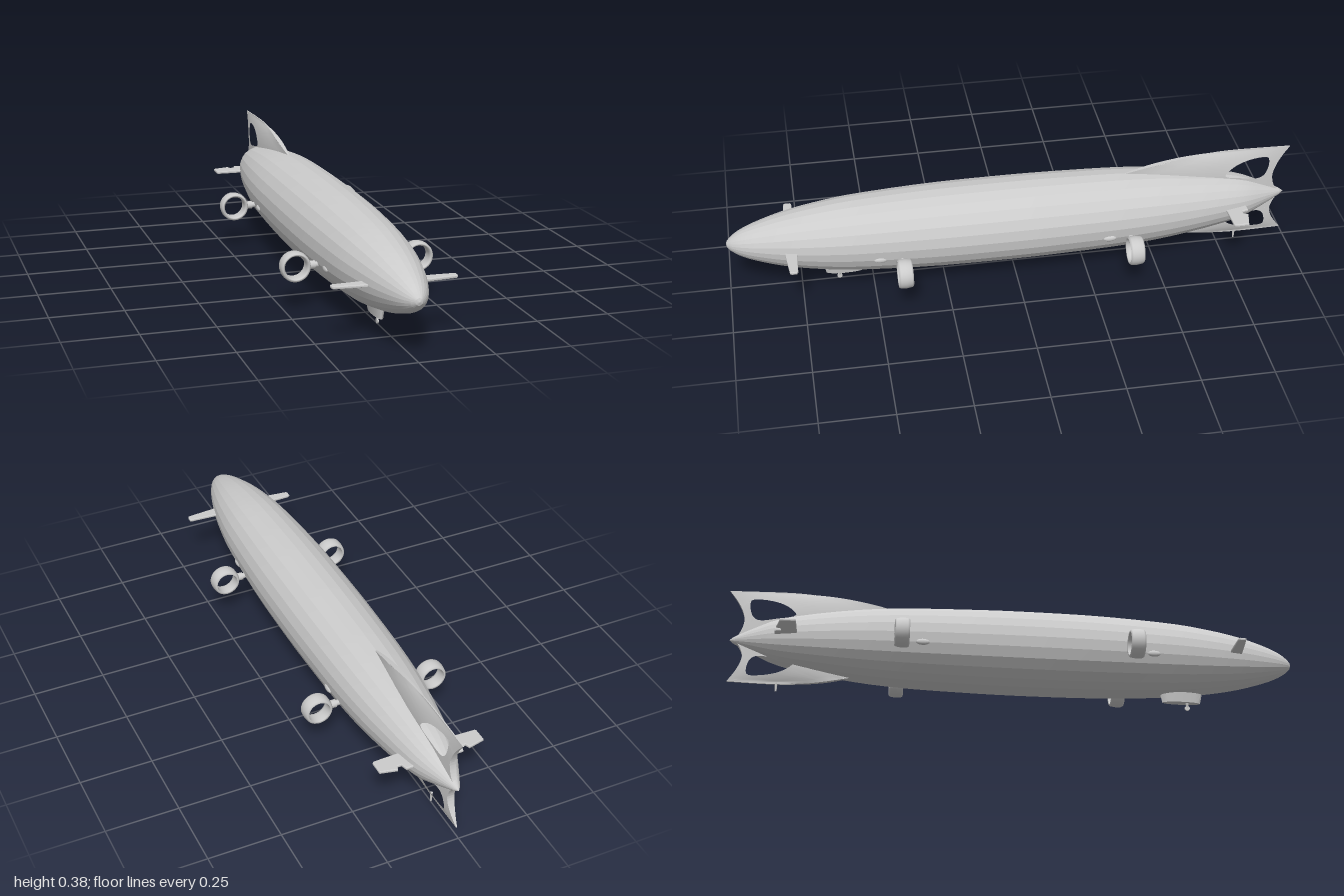
import * as THREE from 'three';
import { toCreasedNormals } from 'three/addons/utils/BufferGeometryUtils.js';

const AXIS = 0.19; // height of the hull axis
const mat = new THREE.MeshStandardMaterial({ color: 0xcccccc });
const v2 = ([x, y]) => new THREE.Vector2(x, y);

function add(parent, name, geometry, x = 0, y = 0, z = 0) {
  const mesh = new THREE.Mesh(geometry, mat);
  mesh.name = name;
  mesh.position.set(x, y, z);
  parent.add(mesh);
  return mesh;
}

// Lathe whose axis runs along z; points are [radius, z]
function latheZ(points, segments) {
  return new THREE.LatheGeometry(points.map(v2), segments).rotateX(Math.PI / 2);
}

// Split every triangle in four
function subdivide(geometry, times) {
  let tris = Array.from(geometry.attributes.position.array);
  for (let n = 0; n < times; n++) {
    const out = [];
    for (let i = 0; i < tris.length; i += 9) {
      const [a, b, c] = [0, 3, 6].map(k => tris.slice(i + k, i + k + 3));
      const mid = (p, q) => p.map((v, k) => (v + q[k]) / 2);
      const ab = mid(a, b), bc = mid(b, c), ca = mid(c, a);
      out.push(...[a, ab, ca, ab, b, bc, ca, bc, c, ab, bc, ca].flat());
    }
    tris = out;
  }
  const g = new THREE.BufferGeometry();
  g.setAttribute('position', new THREE.Float32BufferAttribute(tris, 3));
  return g;
}

// Lens-sectioned tail fin with an opening; lead is [distance aft, height above axis]
function finGeometry(lead, holeScale) {
  const [s0, h0] = lead[0];
  const tip = lead[lead.length - 1];
  const shape = new THREE.Shape();
  shape.moveTo(s0 + 0.08, h0 - 0.07);
  shape.lineTo(s0, h0);
  shape.splineThru(lead.slice(1).map(v2));
  shape.quadraticCurveTo(0.94, tip[1] * 0.66, 0.937, tip[1] * 0.4);
  shape.quadraticCurveTo(0.94, 0.03, 0.97, 0);
  shape.lineTo(0.85, 0);
  const hole = new THREE.CatmullRomCurve3(
    [[0.76, 0.1], [0.8, 0.138], [0.88, 0.158], [0.918, 0.152], [0.912, 0.095], [0.89, 0.076], [0.83, 0.082]]
      .map(([s, h]) => new THREE.Vector3(s, h * holeScale, 0)), true);
  shape.holes.push(new THREE.Path(hole.getPoints(28).slice(0, -1).map(p => new THREE.Vector2(p.x, p.y))));
  const g = subdivide(new THREE.ExtrudeGeometry(shape,
    { depth: 2, bevelEnabled: false, curveSegments: 8 }).translate(0, 0, -1), 2);
  const p = g.attributes.position;
  for (let i = 0; i < p.count; i++) {
    const lens = Math.sin(Math.PI * THREE.MathUtils.clamp((p.getX(i) - s0) / (1.02 - s0), 0, 1));
    const taper = 1 - Math.pow(Math.min(1, p.getY(i) / tip[1]), 5);
    p.setZ(i, p.getZ(i) * (0.002 + 0.021 * lens * taper));
  }
  return toCreasedNormals(g.rotateY(Math.PI / 2), 0.6);
}

// Flat horizontal wing; outline is [x, distance aft]
function wingGeometry(outline) {
  return new THREE.ExtrudeGeometry(new THREE.Shape(outline.map(v2)),
    { depth: 0.004, bevelThickness: 0.003, bevelSize: 0.003, bevelOffset: -0.003, bevelSegments: 2 })
    .translate(0, 0, -0.002).rotateX(-Math.PI / 2);
}

// Ducted engine on a short pylon, at the +x side
function addEngine(parent, z) {
  const duct = latheZ([[0.039, -0.024], [0.044, -0.025], [0.048, -0.02], [0.051, 0], [0.05, 0.018], [0.046, 0.025],
    [0.041, 0.024], [0.037, 0.014], [0.037, -0.01], [0.039, -0.024]], 32);
  add(parent, 'engineDuct', duct, 0.213, 0, z);
  const pylon = new THREE.CylinderGeometry(0.011, 0.009, 0.06, 16).rotateZ(-Math.PI / 2);
  add(parent, 'enginePylon', pylon, 0.142, 0, z);
  const collar = new THREE.CylinderGeometry(0.014, 0.014, 0.018, 16).rotateZ(-Math.PI / 2);
  add(parent, 'pylonCollar', collar, 0.154, 0, z);
}

export function createModel() {
  const model = new THREE.Group();
  model.name = 'airship';

  // Hull, faceted around and smooth along its length
  const profile = new THREE.SplineCurve([[0.012, -0.97], [0.046, -0.9], [0.085, -0.8], [0.12, -0.6], [0.139, -0.4],
    [0.147, -0.15], [0.149, 0.05], [0.146, 0.3], [0.133, 0.55], [0.118, 0.68], [0.096, 0.8], [0.067, 0.9],
    [0.044, 0.955], [0.024, 0.985]].map(v2));
  const points = [[0, -0.985], ...profile.getPoints(40).map(p => [p.x, p.y]), [0.012, 0.996], [0, 1]];
  add(model, 'hull', toCreasedNormals(latheZ(points, 24), 0.2), 0, AXIS, 0);

  // Tail fins
  add(model, 'upperFin', finGeometry(
    [[0.39, 0.135], [0.48, 0.158], [0.6, 0.18], [0.7, 0.19], [0.8, 0.194], [0.995, 0.19]], 1), 0, AXIS, 0);
  const lower = add(model, 'lowerFin', finGeometry(
    [[0.55, 0.12], [0.65, 0.143], [0.75, 0.156], [0.85, 0.159], [0.985, 0.156]], 0.84), 0, AXIS, 0);
  lower.rotation.z = Math.PI;

  // Wings and engines on both sides
  const rear = wingGeometry([[0.04, 0.75], [0.182, 0.755], [0.187, 0.76], [0.187, 0.808], [0.128, 0.822],
    [0.122, 0.806], [0.108, 0.806], [0.102, 0.828], [0.04, 0.828]]);
  const front = wingGeometry([[0.04, -0.808], [0.203, -0.792], [0.207, -0.786], [0.207, -0.768], [0.2, -0.764],
    [0.04, -0.757]]);
  for (const angle of [0, Math.PI]) {
    const side = angle ? 'right' : 'left';
    const wings = new THREE.Group();
    wings.name = side + 'Wings';
    wings.position.y = AXIS;
    wings.rotation.z = angle;
    add(wings, 'rearWing', rear);
    add(wings, 'frontWing', front);
    const engines = new THREE.Group();
    engines.name = side + 'Engines';
    engines.position.y = 0.149;
    engines.rotation.z = angle;
    for (const z of [0.405, -0.397]) {
      addEngine(engines, z);
      // Shallow fairing on the hull ahead of the pylon
      const fairing = new THREE.SphereGeometry(1, 16, 10).scale(0.008, 0.011, 0.024);
      add(engines, 'hullFairing', fairing, z > 0 ? 0.13 : 0.137, angle ? -0.005 : 0.005, z + 0.075);
    }
    model.add(wings, engines);
  }

  // Gondola with tapered sides and a landing strut
  const gondola = new THREE.CylinderGeometry(0.02, 0.014, 0.035, 16);
  const p = gondola.attributes.position;
  for (let i = 0; i < p.count; i++) p.setZ(i, p.getZ(i) * (p.getY(i) > 0 ? 3.75 : 4.8));
  add(model, 'gondola', toCreasedNormals(gondola, 0.6), 0, 0.045, 0.597);
  add(model, 'frontStrut', new THREE.CylinderGeometry(0.007, 0.003, 0.02, 12), 0, 0.021, 0.618);
  const wheel = new THREE.CylinderGeometry(0.009, 0.009, 0.005, 16).rotateZ(Math.PI / 2);
  add(model, 'frontWheel', wheel, 0, 0.009, 0.618);
  add(model, 'rearStrut', new THREE.CylinderGeometry(0.005, 0.003, 0.035, 10), 0, 0.0225, -0.815);
  return model;
}
